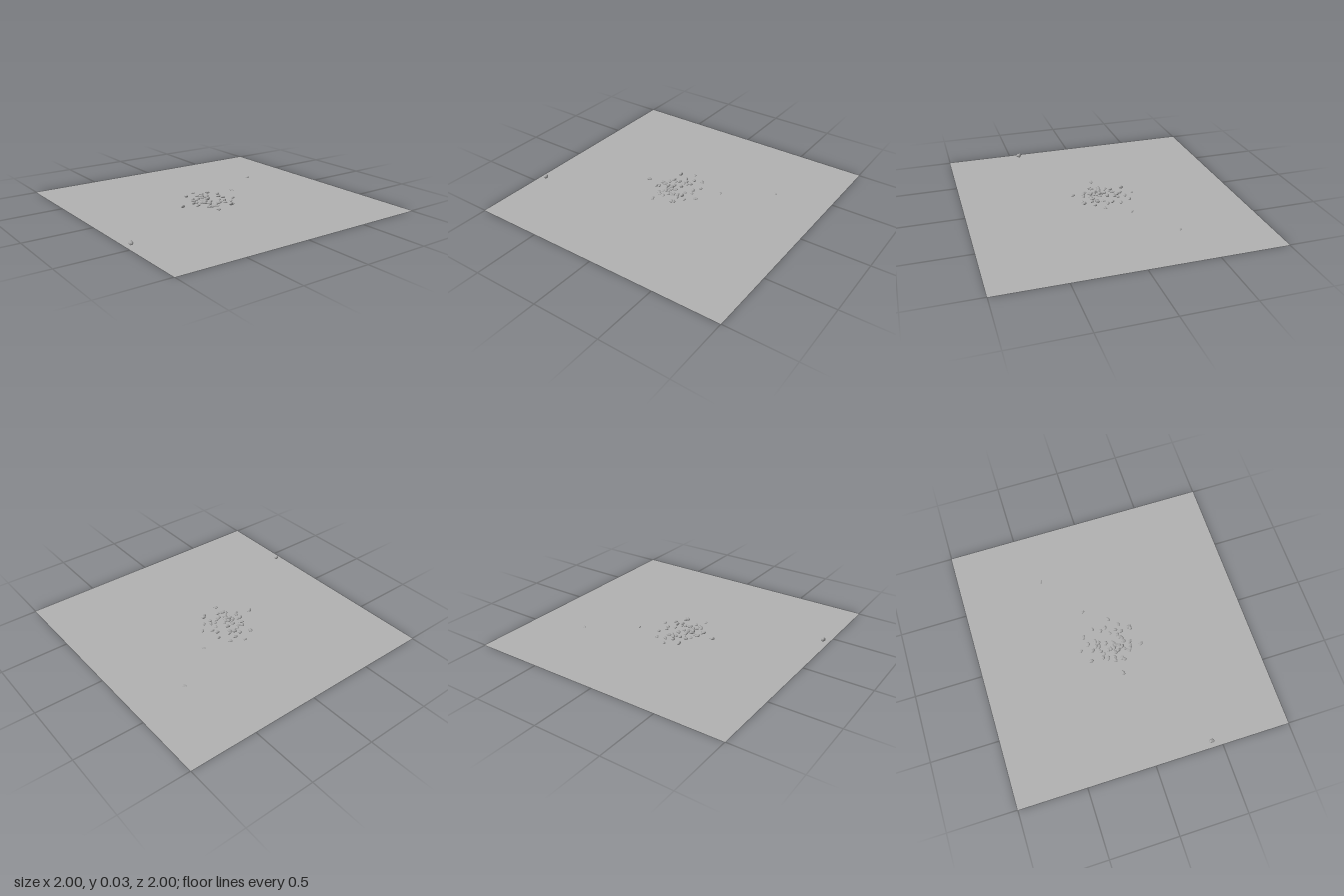
import * as THREE from 'three';

// Pebble centres in hundredths of a unit: x, z
const CLUSTER = [
  [-12.8, -10.4], [-20.8, -6.4], [-7, -7.5], [-3.2, -8.8], [7, -8.8], [1, -15], [-1.2, -4], [3.7, -5], [7.3, -2.9], [13.9, -4.5],
  [-19.3, 0], [-13.4, -0.8], [-25.5, 3.4], [-17.3, 5.6], [-11.2, 1], [-13.9, 3.3], [-11.8, 4.2], [-6.6, 3.1], [-11.8, 7.8], [-10.2, 10.5],
  [-20.5, 13.1], [-11.6, 13.2], [-8, 14.7], [-3.2, 15], [-3.4, 17.5], [1.6, 17.4], [3.2, 18.7], [-1, 4], [0.6, 6.7], [2.7, 7.5],
  [-1.6, 8.3], [5.4, 1.4], [6.2, 3], [7, 5.1], [3.7, -1.2], [4.4, 9], [1, 11], [5.8, 11], [11.2, 6.9], [10.7, 10.4],
  [8.5, 13.4], [9.6, 12], [18.3, 11], [-1, 28.6], [-4, 8.3], [2.2, 8.9], [-1.6, 11.8], [-5.4, 8.3], [14.7, -3.2],
];
// Scattered pebbles: x, z, half length, half height, half width, turn
const STRAYS = [
  [-0.39, -0.6, 0.017, 0.005, 0.009, 0.9],
  [-0.155, -0.262, 0.016, 0.005, 0.01, 0.2],
  [0.43, 0.957, 0.018, 0.016, 0.016, 0.3],
];

function seeded(seed) {
  return () => (seed = (seed * 16807) % 2147483647) / 2147483647;
}

// Irregular faceted stone, resting on y = 0
function stoneGeometry(rx, ry, rz, turn, phase) {
  const geo = new THREE.IcosahedronGeometry(1, 1);
  const pos = geo.attributes.position;
  const v = new THREE.Vector3();
  for (let i = 0; i < pos.count; i++) {
    v.fromBufferAttribute(pos, i);
    const k = 1 + 0.13 * Math.sin(2.3 * v.x + 1.7 * v.z + phase) + 0.08 * Math.cos(3.1 * v.y - 2.2 * v.x + 2 * phase);
    pos.setXYZ(i, v.x * k * rx, v.y * k * ry, v.z * k * rz);
  }
  geo.rotateY(turn);
  geo.computeBoundingBox();
  geo.translate(0, -geo.boundingBox.min.y, 0);
  geo.computeVertexNormals();
  return geo;
}

export function createModel() {
  const model = new THREE.Group();
  const groundGrey = new THREE.MeshStandardMaterial({ color: 0xb2b2b2, side: THREE.DoubleSide });
  groundGrey.name = 'groundGrey';
  const stoneGrey = new THREE.MeshStandardMaterial({ color: 0xaaaaaa, flatShading: true });
  stoneGrey.name = 'stoneGrey';

  // Flat square ground
  const ground = new THREE.Mesh(new THREE.PlaneGeometry(2, 2).rotateX(-Math.PI / 2), groundGrey);
  ground.name = 'ground';
  model.add(ground);

  // Pebbles
  const pebbles = new THREE.Group();
  pebbles.name = 'pebbles';
  model.add(pebbles);
  const random = seeded(4217);
  const addPebble = (x, z, rx, ry, rz, turn) => {
    const mesh = new THREE.Mesh(stoneGeometry(rx, ry, rz, turn, random() * 6.28), stoneGrey);
    mesh.name = 'pebble';
    mesh.position.set(x, 0, z);
    pebbles.add(mesh);
  };
  for (const [x, z] of CLUSTER) {
    const s = 0.9 + 0.25 * random();
    addPebble(x / 100, z / 100, 0.017 * s, (0.006 + 0.005 * random()) * s, 0.0125 * s, random() * Math.PI);
  }
  for (const stray of STRAYS) addPebble(...stray);
  return model;
}
